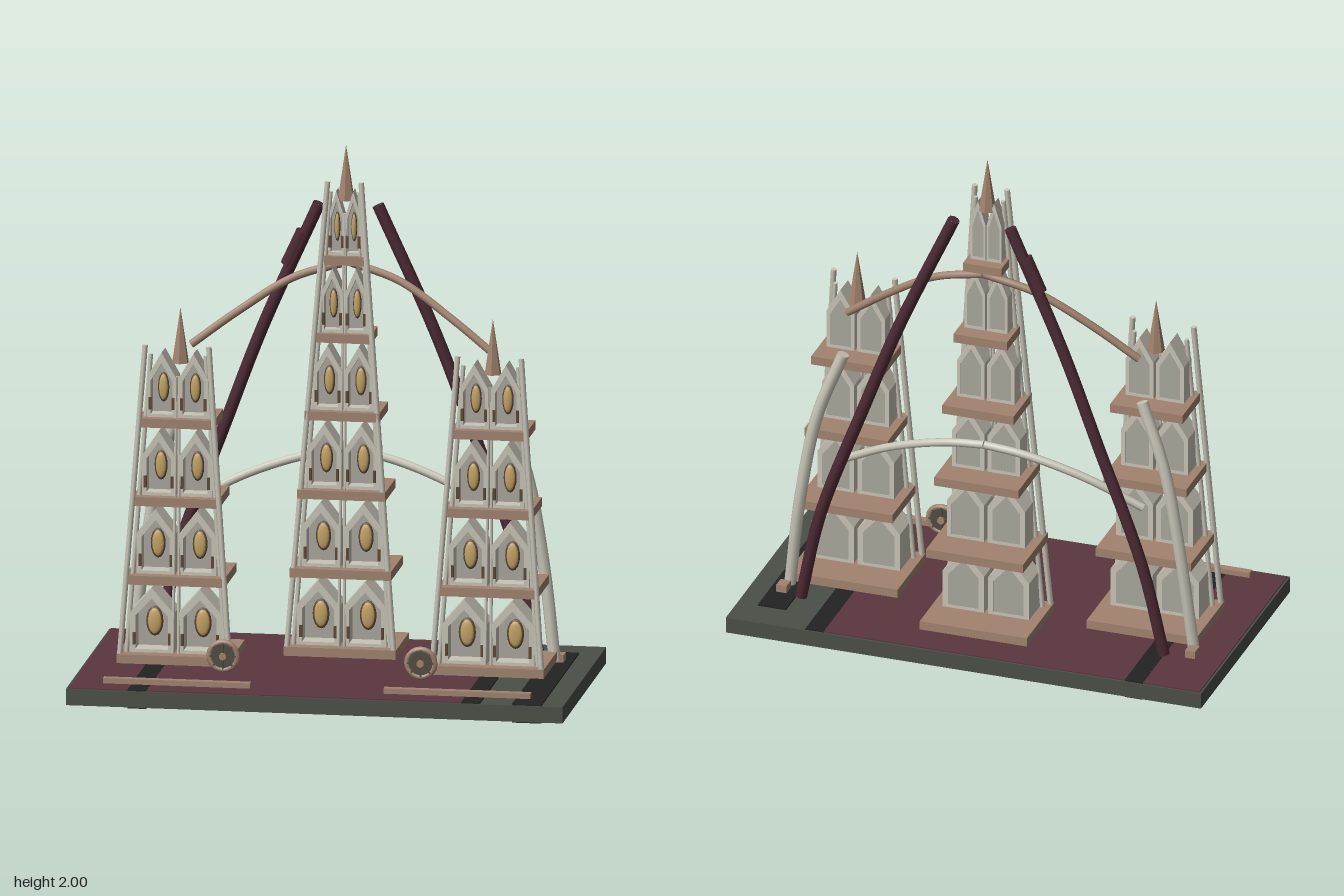
import * as THREE from 'three';

const mat = (name, color) => {
  const m = new THREE.MeshStandardMaterial({ color });
  m.name = name;
  return m;
};

export function createModel() {
  const stone = mat('pale stone', 0xc8c4b7);
  const panel = mat('grey stone', 0xa9a79d);
  const bronze = mat('bronze', 0xa2836f);
  const gold = mat('gold', 0xc4a364);
  const brown = mat('dark brown', 0x5c4836);
  const burgundy = mat('burgundy floor', 0x5a363e);
  const wine = mat('dark wine', 0x4c2a33);
  const slate = mat('slate', 0x4a4f47);
  const black = mat('charcoal', 0x222322);

  const model = new THREE.Group();
  model.name = 'spiredMonument';

  const add = (parent, name, geo, material, x = 0, y = 0, z = 0) => {
    const m = new THREE.Mesh(geo, material);
    m.name = name;
    m.position.set(x, y, z);
    parent.add(m);
    return m;
  };
  // Box given by its limits on each axis
  const box = (parent, name, material, x0, x1, y0, y1, z0, z1) =>
    add(parent, name, new THREE.BoxGeometry(x1 - x0, y1 - y0, z1 - z0), material,
      (x0 + x1) / 2, (y0 + y1) / 2, (z0 + z1) / 2);
  // Straight pole between two points
  const pole = (parent, name, material, a, b, r, sides = 6) => {
    const p = new THREE.Vector3(...a), q = new THREE.Vector3(...b);
    const m = add(parent, name, new THREE.CylinderGeometry(r, r, p.distanceTo(q), sides), material);
    m.position.copy(p).lerp(q, 0.5);
    m.quaternion.setFromUnitVectors(new THREE.Vector3(0, 1, 0), q.sub(p).normalize());
    return m;
  };
  // Curved tube with closed ends
  const tube = (name, material, pts, r, sides = 8) => {
    const curve = new THREE.CatmullRomCurve3(pts.map(p => new THREE.Vector3(...p)));
    add(model, name, new THREE.TubeGeometry(curve, 24, r, sides), material);
    for (const t of [0, 1]) {
      const cap = add(model, name + 'Cap', new THREE.CircleGeometry(r, sides), material);
      cap.position.copy(curve.getPoint(t));
      cap.quaternion.setFromUnitVectors(new THREE.Vector3(0, 0, 1),
        curve.getTangent(t).multiplyScalar(t ? 1 : -1));
    }
  };

  // Base slab, floor and dark bands
  box(model, 'base', slate, -0.93, 0.93, 0.005, 0.066, -0.5, 0.5);
  box(model, 'floor', burgundy, -0.922, 0.55, 0.062, 0.07, -0.492, 0.492);
  box(model, 'leftBand', black, -0.70, -0.63, 0, 0.0715, -0.494, 0.494);
  box(model, 'rightBand', black, 0.55, 0.62, 0.06, 0.0715, -0.494, 0.494);
  box(model, 'edgeBand', black, 0.74, 0.85, 0, 0.0715, -0.37, 0.494);

  // Pointed house outline, from the middle of its foot
  const house = (Type, w, eave, apex, foot = 0) => {
    const s = new Type();
    s.moveTo(-w, foot);
    s.lineTo(w, foot);
    s.lineTo(w, eave);
    s.lineTo(0, apex);
    s.lineTo(-w, eave);
    s.closePath();
    return s;
  };
  const extrude = (shape, depth) => new THREE.ExtrudeGeometry(shape, { depth, bevelEnabled: false });

  // Gabled niche: hollow shell, back wall, jambs and oval light
  const niche = (parent, x, y, w, depth) => {
    const g = new THREE.Group();
    g.name = 'niche';
    g.position.set(x, y, -0.012);
    parent.add(g);
    const shell = house(THREE.Shape, w, 0.15, 0.245);
    shell.holes.push(house(THREE.Path, w * 0.74, 0.138, 0.205, 0.012));
    add(g, 'shell', extrude(shell, depth), stone);
    add(g, 'backWall', extrude(house(THREE.Shape, w * 0.76, 0.142, 0.21, 0.01), depth * 0.4), panel, 0, 0, 0.001);
    const front = depth * 0.4;
    const oval = (name, material, rx, ry, z) =>
      add(g, name, new THREE.SphereGeometry(1, 14, 8), material, 0, 0.105, z).scale.set(rx, ry, 0.008);
    oval('ovalRim', brown, w * 0.39, 0.057, front + 0.002);
    oval('ovalLight', gold, w * 0.31, 0.049, front + 0.006);
    for (const s of [-1, 1])
      box(g, 'jamb', brown, s * w * 0.8 - 0.005, s * w * 0.8 + 0.005, 0.03, 0.075, depth - 0.004, depth + 0.006);
  };

  const levels = [0.12, 0.415, 0.71, 1.005, 1.295, 1.585];
  const tower = (name, x, z, halves, top, spireY) => {
    const g = new THREE.Group();
    g.name = name;
    g.position.set(x, 0, z);
    model.add(g);
    halves.forEach((h, i) => {
      const y = levels[i], d = h * 0.73;
      box(g, 'ledge', bronze, -h, h, y - 0.034, y, -d, d);
      for (const s of [-1, 1]) niche(g, s * h * 0.42, y, h * 0.385, d * 0.7 + 0.012);
    });
    // Leaning front poles
    const h0 = halves[0], h1 = halves[halves.length - 1] * 0.84;
    for (const s of [-1, 1]) {
      pole(g, 'cornerPole', stone, [s * h0 * 0.95, 0.12, h0 * 0.67], [s * h1, top, h1 * 0.7], 0.011);
      pole(g, 'innerPole', stone, [s * h0 * 0.86, 0.12, h0 * 0.5], [s * h1 * 0.86, top - 0.04, h1 * 0.45], 0.009);
      pole(g, 'middlePole', stone, [s * h0 * 0.05, 0.12, h0 * 0.52], [s * h1 * 0.04, top - 0.12, h1 * 0.5], 0.006);
    }
    // Spire
    add(g, 'spire', new THREE.ConeGeometry(0.033, 0.21, 6).toNonIndexed(), bronze, 0, spireY + 0.105, 0.005)
      .geometry.computeVertexNormals();
  };
  tower('centralTower', 0, -0.235, [0.21, 0.19, 0.165, 0.14, 0.105, 0.075], 1.865, 1.79);
  for (const s of [-1, 1])
    tower(s > 0 ? 'leftTower' : 'rightTower', s * 0.585, -0.02, [0.215, 0.187, 0.163, 0.142], 1.28, 1.2);

  for (const s of [-1, 1]) {
    // Tall leaning legs
    tube('leaningLeg', wine, [[s * 0.71, 0.09, -0.285], [s * 0.63, 0.45, -0.3], [s * 0.46, 0.92, -0.305],
      [s * 0.32, 1.29, -0.3], [s * 0.11, 1.76, -0.29]], 0.023);
    // Upper and lower linking arches
    tube('upperArch', bronze, [[s * 0.57, 1.235, -0.165], [s * 0.4, 1.36, -0.2], [s * 0.2, 1.485, -0.245],
      [0, 1.545, -0.275]], 0.015);
    tube('lowerArch', stone, [[s * 0.59, 0.625, -0.175], [s * 0.38, 0.735, -0.22], [s * 0.15, 0.81, -0.255],
      [0, 0.83, -0.265]], 0.016);
    // Bowed buttress behind each side tower, with its foot block
    tube('buttress', stone, [[s * 0.79, 0.08, -0.18], [s * 0.745, 0.45, -0.195], [s * 0.68, 0.8, -0.19],
      [s * 0.585, 1.06, -0.17]], 0.023);
    box(model, 'footBlock', bronze, s * 0.8 - 0.02, s * 0.8 + 0.02, 0.07, 0.1, -0.25, -0.2);
    // Low rail at the front
    box(model, 'frontRail', bronze, s * 0.525 - 0.275, s * 0.525 + 0.275, 0.08, 0.1, 0.415, 0.445);

    // Spoked wheel
    const wheel = new THREE.Group();
    wheel.name = 'wheel';
    wheel.position.set(s * 0.37, 0.172, 0.32);
    model.add(wheel);
    add(wheel, 'rim', new THREE.TorusGeometry(0.052, 0.011, 6, 20), bronze);
    add(wheel, 'disc', new THREE.CylinderGeometry(0.046, 0.046, 0.014, 20), slate).rotation.x = Math.PI / 2;
    add(wheel, 'hub', new THREE.CylinderGeometry(0.014, 0.014, 0.036, 10), bronze).rotation.x = Math.PI / 2;
    for (let i = 0; i < 4; i++)
      add(wheel, 'spoke', new THREE.BoxGeometry(0.1, 0.007, 0.02), brown).rotation.z = i * Math.PI / 4;
  }
  // Knot on one leg
  pole(model, 'legKnot', wine, [-0.23, 1.52, -0.297], [-0.17, 1.65, -0.293], 0.027, 8);

  return model;
}
